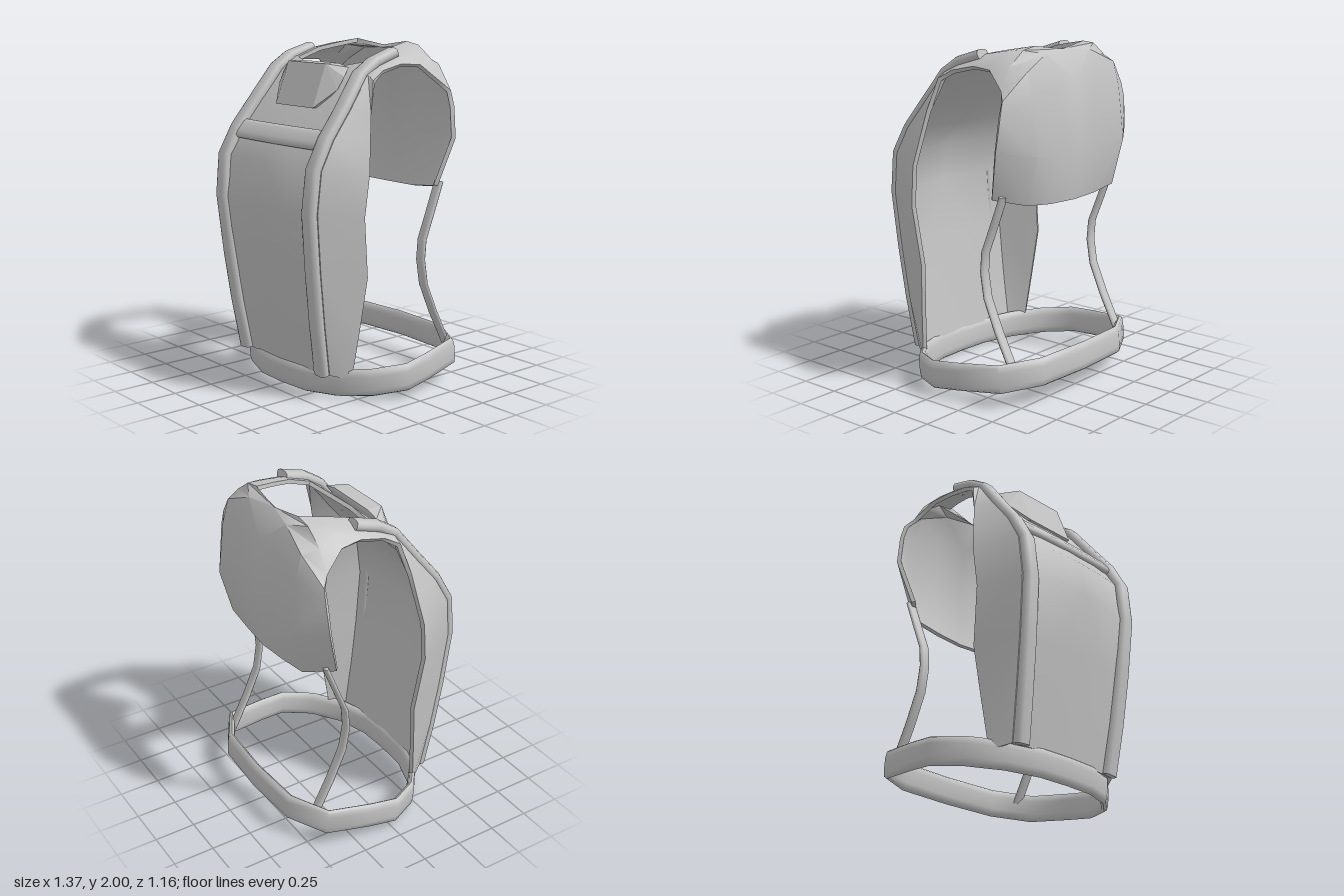
import * as THREE from 'three';
import { mergeGeometries, toCreasedNormals } from 'three/addons/utils/BufferGeometryUtils.js';
import { ConvexGeometry } from 'three/addons/geometries/ConvexGeometry.js';

const V = (p) => new THREE.Vector3(...p);
const lerp = THREE.MathUtils.lerp;

function build(points, index) {
  const g = new THREE.BufferGeometry();
  g.setAttribute('position', new THREE.Float32BufferAttribute(points.flatMap((p) => p.toArray()), 3));
  g.setIndex(index);
  return g;
}

// Thick shell over one half of the body; side -1 mirrors it
function shell(rows, thick, side) {
  const n = rows[0].length, m = rows.length, count = n * m;
  const outer = rows.flat().map(V), index = [];
  const quad = (a, b, c, d) => index.push(a, b, d, b, c, d);
  const at = (i, j) => i * n + j;
  for (let i = 0; i < m - 1; i++)
    for (let j = 0; j < n - 1; j++) quad(at(i, j), at(i, j + 1), at(i + 1, j + 1), at(i + 1, j));
  const skin = build(outer, index.slice());
  skin.computeVertexNormals();
  const normals = skin.attributes.normal;
  const inner = outer.map((p, k) => {
    const q = p.clone().addScaledVector(new THREE.Vector3().fromBufferAttribute(normals, k), -thick);
    if (p.x === 0) q.x = 0;
    return q;
  });
  for (let k = 0, len = index.length; k < len; k += 3)
    index.push(index[k] + count, index[k + 2] + count, index[k + 1] + count);
  // Rims around the open edges, skipping the centre seam
  const rim = (a, b) => quad(b, a, a + count, b + count);
  for (let j = 0; j < n - 1; j++) {
    rim(at(0, j), at(0, j + 1));
    rim(at(m - 1, j + 1), at(m - 1, j));
  }
  for (let i = 0; i < m - 1; i++) {
    rim(at(i, n - 1), at(i + 1, n - 1));
    if (outer[at(i, 0)].x || outer[at(i + 1, 0)].x) rim(at(i + 1, 0), at(i, 0));
  }
  const all = [...outer, ...inner];
  if (side < 0) {
    all.forEach((p) => { p.x *= -1; });
    for (let k = 0; k < index.length; k += 3) [index[k + 1], index[k + 2]] = [index[k + 2], index[k + 1]];
  }
  return build(all, index);
}

// Rounded flat band swept along a path; "across" is its width direction
function band(path, width, thick, across, closed = false) {
  const sides = 10, n = path.length, pts = path.map(V), verts = [], index = [];
  const soft = (v) => Math.sign(v) * Math.abs(v) ** 0.65;
  pts.forEach((p, i) => {
    const prev = closed ? pts[(i + n - 1) % n] : pts[Math.max(i - 1, 0)];
    const next = closed ? pts[(i + 1) % n] : pts[Math.min(i + 1, n - 1)];
    const t = next.clone().sub(prev).normalize();
    const w = V(across).addScaledVector(t, -V(across).dot(t)).normalize();
    const d = t.clone().cross(w);
    for (let k = 0; k < sides; k++) {
      const a = (k / sides) * Math.PI * 2;
      verts.push(p.clone().addScaledVector(w, soft(Math.cos(a)) * width / 2)
        .addScaledVector(d, soft(Math.sin(a)) * thick / 2));
    }
  });
  for (let i = 0; i < (closed ? n : n - 1); i++)
    for (let k = 0; k < sides; k++) {
      const a = i * sides + k, b = i * sides + (k + 1) % sides;
      const c = ((i + 1) % n) * sides + k, e = ((i + 1) % n) * sides + (k + 1) % sides;
      index.push(a, b, c, b, e, c);
    }
  if (!closed)
    for (let k = 1; k < sides - 1; k++) {
      const z = (n - 1) * sides;
      index.push(0, k + 1, k, z, z + k, z + k + 1);
    }
  return toCreasedNormals(build(verts, index), 1);
}

export function createModel() {
  const group = new THREE.Group();
  const grey = new THREE.MeshStandardMaterial({ color: 0xc4c4c4, side: THREE.DoubleSide });
  grey.name = 'plain grey';
  const add = (name, geometry) => {
    const mesh = new THREE.Mesh(geometry, grey);
    mesh.name = name;
    group.add(mesh);
  };

  // Chest levels: height, centre z, corner x and z, side edge x and z
  const chest = [
    [0.15, 0.425, 0.41, 0.385, 0.48, 0.28],
    [0.45, 0.475, 0.43, 0.435, 0.515, 0.25],
    [0.75, 0.52, 0.445, 0.475, 0.545, 0.22],
    [1.1, 0.58, 0.46, 0.51, 0.57, 0.265],
    [1.34, 0.53, 0.465, 0.485, 0.58, 0.24],
    [1.5, 0.41, 0.46, 0.395, 0.55, 0.21],
    [1.66, 0.28, 0.45, 0.265, 0.52, 0.18],
    [1.84, 0.13, 0.43, 0.125, 0.48, 0.13],
  ];
  const chestRows = chest.map(([y, z, cx, cz, ex, ez]) =>
    [[0, y, z], [cx / 2, y, lerp(z, cz, 0.3)], [cx, y, cz], [ex, y - 0.03, ez]]);

  // Shoulder arch: z, neck edge x and y, outer edge x and y
  const shoulderRows = [
    [0.04, 0.3, 1.9, 0.46, 1.86],
    [-0.11, 0.285, 1.955, 0.45, 1.89],
    [-0.24, 0.255, 1.98, 0.465, 1.88],
    [-0.36, 0.22, 2, 0.51, 1.78],
  ].map(([z, ix, iy, ox, oy]) =>
    [[0, 0], [0.35, 0.08], [0.75, 0.45], [1, 1]].map(([u, v]) => [lerp(ix, ox, u), lerp(iy, oy, v), z]));

  // Back levels: centre y and z, corner z, side edge x, y and z
  const backRows = [
    [1.97, -0.38, -0.45, 0.55, 1.73, -0.405],
    [1.8, -0.475, -0.49, 0.575, 1.64, -0.41],
    [1.4, -0.505, -0.53, 0.6, 1.46, -0.4],
    [1.12, -0.48, -0.455, 0.54, 1.18, -0.32],
  ].map(([y, z, cz, ex, ey, ez]) =>
    [[0, y, z], [0.2, lerp(y, ey, 0.05), lerp(z, cz, 0.6)], [0.4, lerp(y, ey, 0.4), cz], [ex, ey, ez]]);

  // Vest body, running up the chest, over the shoulders and down the back
  const rows = [...chestRows, ...shoulderRows, ...backRows];
  const halves = [1, -1].map((s) => shell(rows, 0.025, s));
  add('vestBody', toCreasedNormals(mergeGeometries(halves), 0.75));

  // Chest straps follow the chest corners; thin straps join the back to the belt
  const chestPath = chest.map(([y, , cx, cz]) => [cx - 0.05, y, cz + 0.018]);
  chestPath.push([0.38, 1.905, 0.04], [0.37, 1.95, -0.11]);
  const backPath = [
    [1.2, -0.37], [1.02, -0.3], [0.87, -0.24], [0.75, -0.23], [0.6, -0.255], [0.42, -0.335], [0.2, -0.45],
  ].map(([y, z]) => [0.5, y, z]);
  for (const [side, s] of [['left', 1], ['right', -1]]) {
    const flip = (path) => path.map(([x, y, z]) => [x * s, y, z]);
    add(side + 'ChestStrap', band(flip(chestPath), 0.1, 0.06, [1, 0, 0]));
    add(side + 'BackStrap', band(flip(backPath), 0.065, 0.025, [1, 0, 0]));
  }

  // Cross strap between the chest straps
  const crossPath = [-0.39, -0.2, 0, 0.2, 0.39].map((x) => [x, 1.49, 0.42 - x * x * 0.08]);
  add('crossStrap', band(crossPath, 0.13, 0.05, [0, 0.77, -0.64]));

  // Faceted chest pouch
  const pouch = [
    [0.17, 1.89, 0.215], [0.17, 1.645, 0.31], [0.17, 1.89, 0.12], [0.26, 1.87, 0.12],
    [0.28, 1.82, 0.17], [0.27, 1.75, 0.21], [0.18, 1.645, 0.27],
  ];
  add('chestPouch', new ConvexGeometry(pouch.flatMap(([x, y, z]) => [V([x, y, z]), V([-x, y, z])])));

  // Waist belt: a tilted loop, lower at the front
  const side = [[0.2, 0.4], [0.4, 0.33], [0.565, 0.2], [0.662, 0.02], [0.64, -0.15], [0.585, -0.41], [0.36, -0.535]];
  const mirrored = side.map(([x, z]) => [-x, z]).reverse();
  const belt = [[0, 0.41], ...side, [0, -0.555], ...mirrored].map(([x, z]) => [x, 0.132 - z * 0.11, z]);
  add('waistBelt', band(belt, 0.165, 0.045, [0, 1, 0.1], true));

  return group;
}
